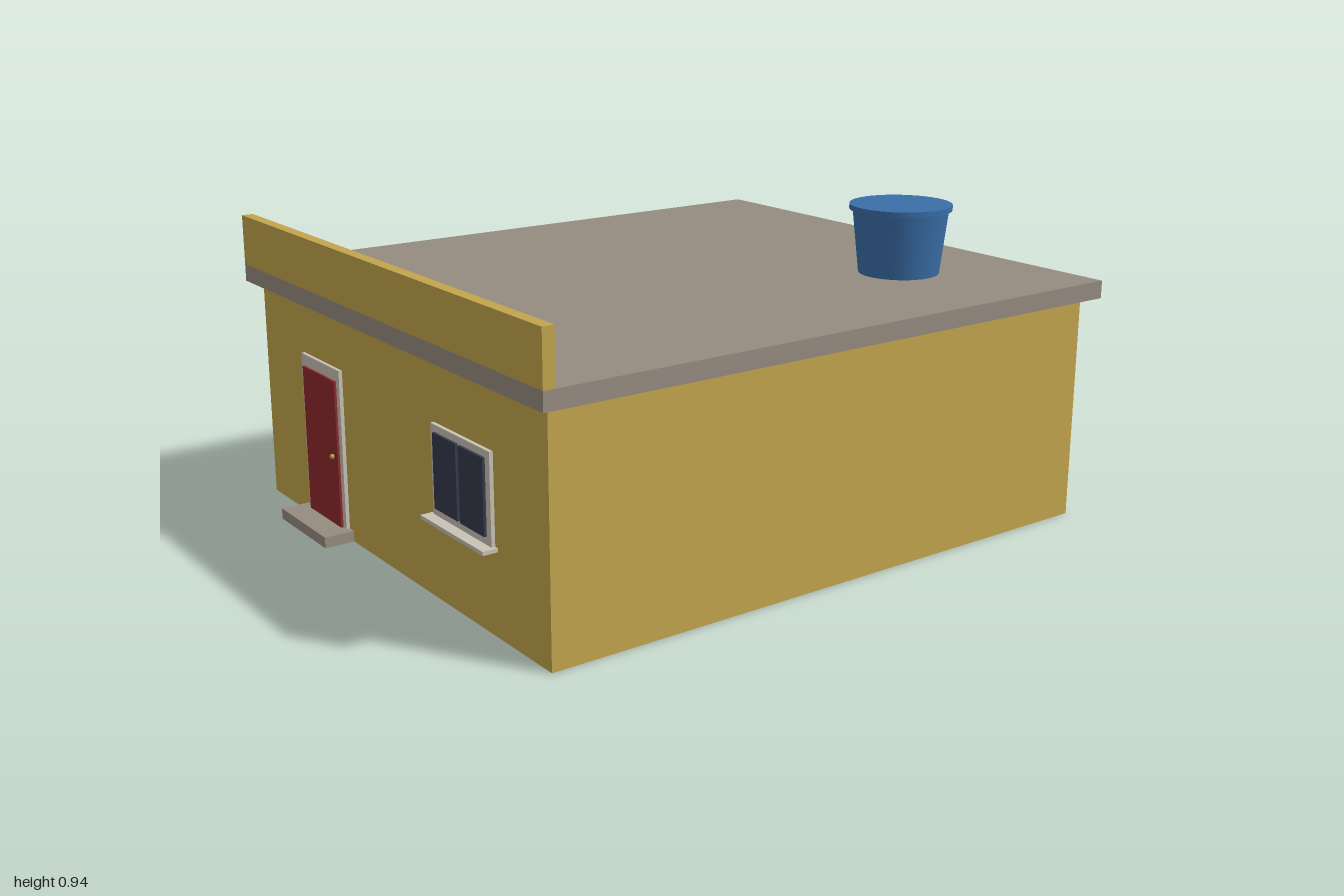
import * as THREE from 'three';

const paint = (name, color) => {
  const m = new THREE.MeshStandardMaterial({ color });
  m.name = name;
  return m;
};

export function createModel() {
  const house = new THREE.Group();
  house.name = 'house';

  const ochre = paint('ochre wall', 0xc4a54d);
  const concrete = paint('concrete', 0x968c80);
  const trim = paint('pale trim', 0xc8c2b6);
  const red = paint('red door', 0x8e2a2d);
  const glass = paint('dark glass', 0x353a4a);
  const blue = paint('blue tank', 0x3a6ea8);
  const brass = paint('brass', 0xb8963c);

  const add = (name, geometry, material, parent = house) => {
    const mesh = new THREE.Mesh(geometry, material);
    mesh.name = name;
    parent.add(mesh);
    return mesh;
  };
  // Box given by its limits on each axis
  const box = (name, material, [x0, x1], [y0, y1], [z0, z1], parent) => {
    const mesh = add(name, new THREE.BoxGeometry(x1 - x0, y1 - y0, z1 - z0), material, parent);
    mesh.position.set((x0 + x1) / 2, (y0 + y1) / 2, (z0 + z1) / 2);
    return mesh;
  };
  const group = (name) => {
    const g = new THREE.Group();
    g.name = name;
    house.add(g);
    return g;
  };

  const wallZ = 0.908;

  // Main volume, roof slab and front parapet
  box('walls', ochre, [-0.812, 0.812], [0, 0.68], [-0.96, wallZ]);
  box('roofSlab', concrete, [-0.855, 0.855], [0.68, 0.733], [-1, 0.946]);
  box('parapet', ochre, [-0.855, 0.855], [0.733, 0.885], [0.911, 0.946]);

  // Door with frame, knob and step
  const door = group('door');
  box('doorStep', concrete, [-0.56, -0.26], [0, 0.033], [wallZ, 1], door);
  box('doorFrame', trim, [-0.535, -0.285], [0.033, 0.515], [wallZ, 0.919], door);
  box('doorLeaf', red, [-0.515, -0.305], [0.033, 0.48], [0.919, 0.926], door);
  const knob = add('doorKnob', new THREE.SphereGeometry(0.008, 16, 10), brass, door);
  knob.position.set(-0.333, 0.247, 0.93);

  // Window with frame, two panes and sill
  const win = group('window');
  box('windowFrame', trim, [0.256, 0.556], [0.247, 0.5], [wallZ, 0.919], win);
  for (const side of [-1, 1]) {
    const pane = box('windowPane', glass, [-0.0605, 0.0605], [0.27, 0.48], [0.919, 0.927], win);
    pane.position.x = 0.406 + side * 0.0675;
  }
  box('windowSill', trim, [0.244, 0.568], [0.236, 0.247], [wallZ, 0.952], win);

  // Tapered water tank with an overhanging lid
  const tank = group('waterTank');
  tank.position.set(0.411, 0.733, -0.602);
  add('tankBody', new THREE.CylinderGeometry(0.143, 0.121, 0.192, 40), blue, tank).position.y = 0.096;
  add('tankLid', new THREE.CylinderGeometry(0.153, 0.153, 0.016, 40), blue, tank).position.y = 0.2;

  return house;
}
